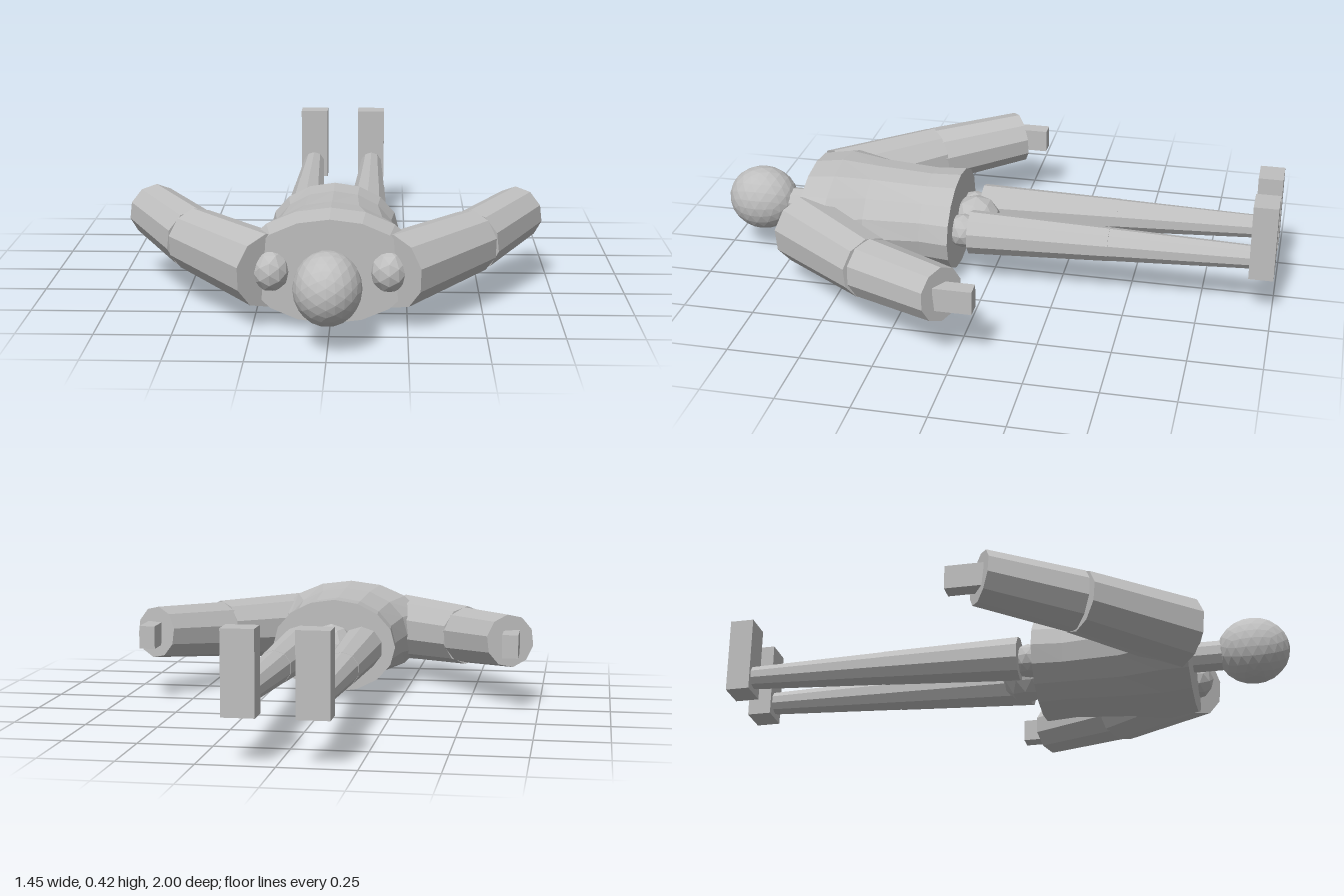
import * as THREE from 'three';

const grey = new THREE.MeshStandardMaterial({ color: 0xbfbfbf, flatShading: true });
grey.name = 'plain grey';

function part(name, geometry, x = 0, y = 0, z = 0) {
  const mesh = new THREE.Mesh(geometry, grey);
  mesh.name = name;
  mesh.position.set(x, y, z);
  return mesh;
}

// faceted ball stretched to three radii
function ball(name, detail, [x, y, z], [rx, ry, rz]) {
  return part(name, new THREE.IcosahedronGeometry(1, detail).scale(rx, ry, rz), x, y, z);
}

// tapered cylinder running from point a to point b
function limb(name, a, b, ra, rb, sides = 10) {
  const from = new THREE.Vector3(...a), to = new THREE.Vector3(...b);
  const dir = to.clone().sub(from);
  const mesh = part(name, new THREE.CylinderGeometry(rb, ra, dir.length(), sides));
  mesh.position.copy(from).add(to).multiplyScalar(0.5);
  mesh.quaternion.setFromUnitVectors(new THREE.Vector3(0, 1, 0), dir.normalize());
  return mesh;
}

// oval torso: rings of a cylinder moved to [z, half width, half height]
function torsoGeometry() {
  const rings = [
    [0.125, 0.225, 0.17],
    [0.23, 0.213, 0.165],
    [0.43, 0.235, 0.176],
    [0.56, 0.295, 0.187],
    [0.66, 0.27, 0.172],
  ];
  const n = rings.length - 1;
  const geometry = new THREE.CylinderGeometry(1, 1, n, 16, n).rotateX(Math.PI / 2);
  const p = geometry.attributes.position;
  for (let i = 0; i < p.count; i++) {
    const [z, w, h] = rings[Math.round(p.getZ(i) + n / 2)];
    p.setXYZ(i, p.getX(i) * w, p.getY(i) * h, z);
  }
  geometry.computeVertexNormals();
  return geometry;
}

export function createModel() {
  const model = new THREE.Group();
  model.name = 'lyingFigure';

  // head, neck and trunk
  model.add(
    ball('head', 3, [0, 0.197, 0.87], [0.108, 0.117, 0.126]),
    limb('neck', [0, 0.19, 0.64], [0, 0.19, 0.78], 0.053, 0.053),
    part('torso', torsoGeometry(), 0, 0.19, 0),
    ball('pelvis', 1, [0, 0.18, 0.07], [0.088, 0.1, 0.092]),
  );

  for (const [side, s] of [['left', 1], ['right', -1]]) {
    // arm
    const shoulder = [s * 0.2, 0.19, 0.65];
    const elbow = [s * 0.468, 0.21, 0.333];
    const wrist = [s * 0.645, 0.239, 0.04];
    const arm = new THREE.Group();
    arm.name = side + 'Arm';
    arm.add(
      ball('shoulder', 1, [s * 0.19, 0.19, 0.645], [0.062, 0.07, 0.068]),
      limb('upperArm', shoulder, elbow, 0.124, 0.108),
      limb('forearm', elbow, wrist, 0.105, 0.094),
      part('hand', new THREE.BoxGeometry(0.056, 0.082, 0.13), s * 0.65, 0.235, -0.003),
    );

    // leg
    const hip = [s * 0.109, 0.195, 0.065];
    const knee = [s * 0.114, 0.203, -0.43];
    const ankle = [s * 0.117, 0.21, -0.92];
    const leg = new THREE.Group();
    leg.name = side + 'Leg';
    leg.add(
      ball('hip', 1, [s * 0.095, 0.19, 0.095], [0.06, 0.06, 0.06]),
      limb('thigh', hip, knee, 0.078, 0.06),
      limb('shin', knee, ankle, 0.059, 0.041),
      part('foot', new THREE.BoxGeometry(0.106, 0.272, 0.085), s * 0.115, 0.286, -0.9575),
    );
    model.add(arm, leg);
  }
  return model;
}
